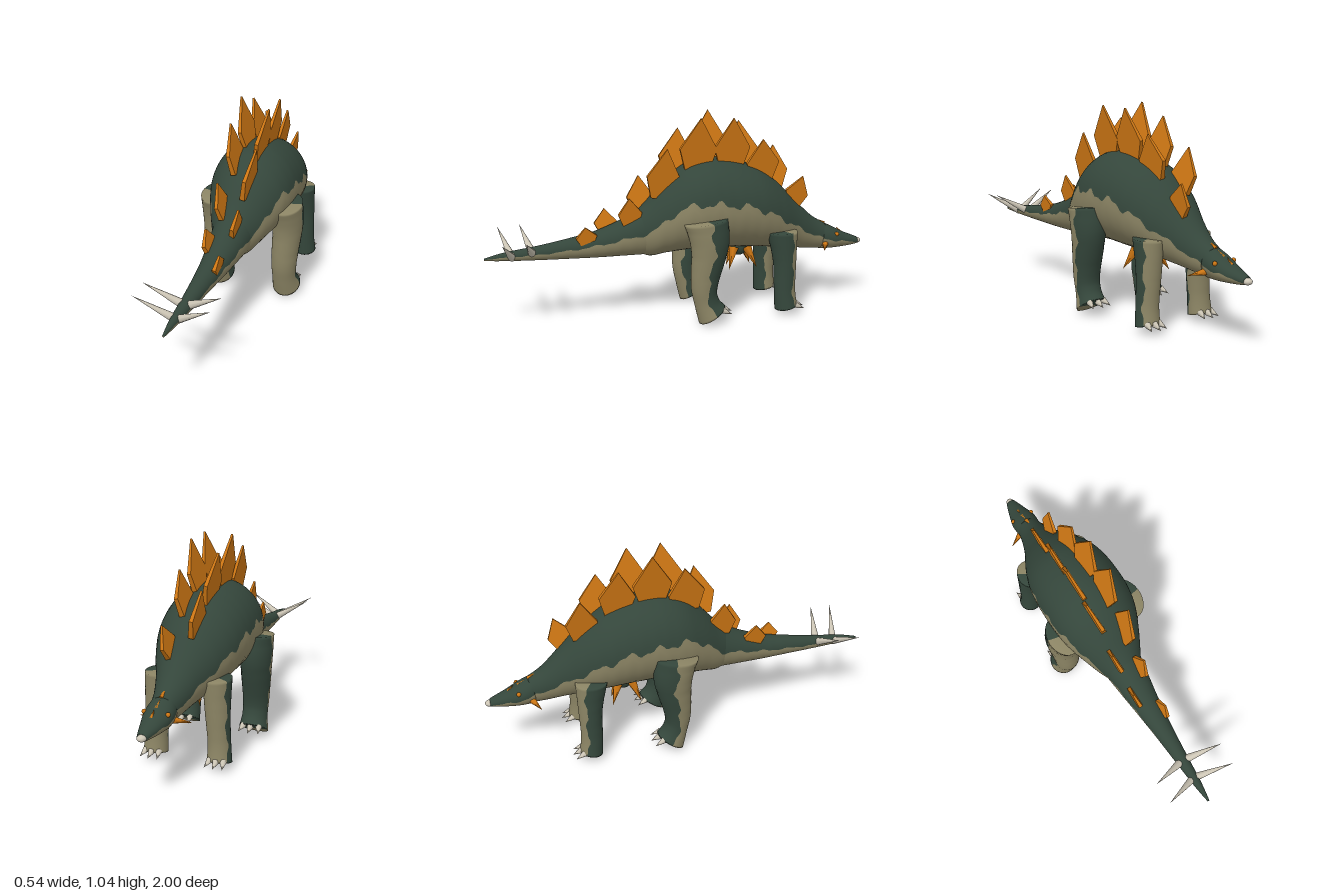
import * as THREE from 'three';

const mat = (name, color) => Object.assign(new THREE.MeshStandardMaterial({ color }), { name });

export function createModel() {
  const green = mat('dark green hide', 0x34463b);
  const beige = mat('beige underside', 0x8b8464);
  const orange = mat('orange plates', 0xd07814);
  const bone = mat('pale bone', 0xcdc6b6);
  const model = new THREE.Group();
  model.name = 'platedDinosaur';
  const V = (x, y, z) => new THREE.Vector3(x, y, z);

  function add(name, geo, material, parent = model) {
    const m = new THREE.Mesh(geo, material);
    m.name = name;
    parent.add(m);
    return m;
  }

  // smooth interpolation through the rows of a table, t from 0 to 1
  function sample(rows, t) {
    const f = t * (rows.length - 1), i = Math.min(Math.floor(f), rows.length - 2), u = f - i;
    const at = k => rows[Math.max(0, Math.min(rows.length - 1, k))];
    return rows[i].map((_, c) => {
      const [a, b, d, e] = [at(i - 1)[c], at(i)[c], at(i + 1)[c], at(i + 2)[c]];
      return b + 0.5 * u * (d - a + u * (2 * a - 5 * b + 4 * d - e + u * (3 * (b - d) + e - a)));
    });
  }

  // skin over a list of equally long rows of points
  function loft(rings, flip = false) {
    const n = rings[0].length, idx = [];
    for (let i = 0; i < rings.length - 1; i++) for (let j = 0; j < n - 1; j++) {
      const a = i * n + j, b = a + 1, c = a + n, d = c + 1;
      if (flip) idx.push(a, b, c, b, d, c);
      else idx.push(a, c, b, b, c, d);
    }
    const g = new THREE.BufferGeometry().setFromPoints(rings.flat());
    g.setIndex(idx);
    g.computeVertexNormals();
    return g;
  }

  // cone from one point to another
  function spike(name, from, to, r, material, sides = 8) {
    const dir = to.clone().sub(from), len = dir.length();
    const m = add(name, new THREE.ConeGeometry(r, len, sides), material);
    m.position.copy(from).addScaledVector(dir, 0.5);
    m.quaternion.setFromUnitVectors(V(0, 1, 0), dir.normalize());
    return m;
  }

  // rows: z, top, bottom, half width, height of the colour border
  const body = [
    [0.27, 0.53, 0.37, 0.07, 0.44], [0.19, 0.60, 0.325, 0.115, 0.47], [0.1, 0.695, 0.335, 0.16, 0.555],
    [0, 0.775, 0.345, 0.2, 0.61], [-0.1, 0.808, 0.35, 0.217, 0.615], [-0.2, 0.808, 0.345, 0.22, 0.605],
    [-0.3, 0.787, 0.34, 0.215, 0.59], [-0.4, 0.745, 0.33, 0.197, 0.55], [-0.5, 0.67, 0.318, 0.16, 0.495],
    [-0.6, 0.57, 0.305, 0.112, 0.435], [-0.7, 0.475, 0.292, 0.077, 0.38], [-0.78, 0.425, 0.288, 0.06, 0.35],
  ];
  const head = [
    [-0.755, 0.435, 0.284, 0.064, 0.355], [-0.82, 0.405, 0.284, 0.068, 0.34], [-0.89, 0.368, 0.287, 0.051, 0.325],
    [-0.94, 0.347, 0.291, 0.036, 0.315], [-0.975, 0.332, 0.296, 0.024, 0.31],
  ];
  const tail = [
    [1, 0.37, 0.358, 0.005, 0.365], [0.9, 0.393, 0.35, 0.02, 0.372], [0.75, 0.412, 0.343, 0.034, 0.378],
    [0.6, 0.437, 0.338, 0.048, 0.39], [0.45, 0.468, 0.334, 0.066, 0.41], [0.3, 0.525, 0.333, 0.088, 0.44],
    [0.18, 0.59, 0.332, 0.106, 0.465],
  ];

  // dark back and pale belly meeting along a wavy line
  function twoTone(name, rows, steps) {
    const back = [], belly = [];
    for (let i = -1; i <= steps + 1; i++) {
      const [z, top, bot, w, edge] = sample(rows, Math.max(0, Math.min(1, i / steps)));
      const k = i < 0 || i > steps ? 0.001 : 1;
      const cy = (top + bot) / 2, h = (top - bot) / 2;
      const arc = (a0, a1, n) => Array.from({ length: n + 1 }, (_, j) => {
        const a = a0 + (a1 - a0) * j / n;
        return V(Math.cos(a) * w * k, cy + Math.sin(a) * h * k, z);
      });
      const border = side => {
        const wave = w * (0.07 * Math.sin(z * 42 + side) + 0.04 * Math.sin(z * 95 + 2 * side));
        return Math.asin(Math.max(-0.9, Math.min(0.9, (edge + wave - cy) / h)));
      };
      const a = border(1), b = Math.PI - border(2);
      back.push(arc(a, b, 24));
      belly.push(arc(b, a + 2 * Math.PI, 24));
    }
    add(name + 'Back', loft(back), green);
    add(name + 'Belly', loft(belly), beige);
  }
  twoTone('body', body, 72);
  twoTone('head', head, 20);
  twoTone('tail', tail, 50);

  // beak
  const beak = add('beak', new THREE.SphereGeometry(1, 16, 10), bone);
  beak.scale.set(0.022, 0.016, 0.025);
  beak.position.set(0, 0.312, -0.975);

  // legs, rows: y, centre z, half depth, centre x, half width, slope
  const hind = [
    [0.532, -0.067, 0.11, 0.19, 0.08, -0.12], [0.4, -0.088, 0.096, 0.193, 0.078, -0.05],
    [0.2, -0.062, 0.068, 0.185, 0.067, 0], [0.11, -0.074, 0.06, 0.184, 0.064, -0.3],
    [0.043, -0.102, 0.066, 0.188, 0.074, -0.65],
  ];
  const fore = [
    [0.437, -0.488, 0.08, 0.145, 0.068, 0], [0.28, -0.502, 0.06, 0.152, 0.06, 0],
    [0.13, -0.503, 0.055, 0.16, 0.055, -0.05], [0.036, -0.511, 0.058, 0.164, 0.06, -0.2],
  ];
  function leg(name, rows, s, darkFrom, darkTo) {
    const skin = (a0, a1) => {
      const rings = [], steps = 24;
      for (let i = -1; i <= steps + 1; i++) {
        const [y, cz, rz, cx, rx, slope] = sample(rows, Math.max(0, Math.min(1, i / steps)));
        const k = i < 0 || i > steps ? 0.001 : 1;
        const wob = 0.13 * Math.sin(y * 38) + 0.06 * Math.sin(y * 90);
        rings.push(Array.from({ length: 17 }, (_, j) => {
          const a = a0 + (a1 - a0) * j / 16 + wob, dz = -Math.sin(a) * rz * k;
          return V(s * (cx + Math.cos(a) * rx * k), y + slope * dz, cz + dz);
        }));
      }
      return loft(rings, s < 0);
    };
    add(name + 'DarkSide', skin(darkFrom, darkTo), green);
    add(name + 'PaleSide', skin(darkTo, darkFrom + 2 * Math.PI), beige);
    // three claws on each foot
    const [y, cz, rz, cx, rx, slope] = rows[rows.length - 1];
    for (const k of [-1, 0, 1]) {
      const a = Math.PI / 2 - k * 0.65;
      const x = cx + Math.cos(a) * rx * 0.9, dz = -Math.sin(a) * rz * 0.85;
      const top = y - slope * rz * 0.85 * 0.5 + 0.01;
      spike(name + 'Claw', V(s * x, top, cz + dz), V(s * (x + k * 0.012), top - 0.02, cz + dz - 0.047), 0.017, bone, 8);
    }
  }
  for (const s of [1, -1]) {
    const side = s > 0 ? 'left' : 'right';
    leg(side + 'HindLeg', hind, s, 0.05, Math.PI + 0.45);
    leg(side + 'ForeLeg', fore, s, -Math.PI + 0.2, 0.5);

    // tail spikes
    spike(side + 'TailSpikeRear', V(0, 0.365, 0.865), V(s * 0.185, 0.478, 0.92), 0.021, bone, 10);
    spike(side + 'TailSpikeFront', V(0, 0.375, 0.765), V(s * 0.19, 0.482, 0.81), 0.023, bone, 10);

    // cheek horns, brow horns and eyes
    spike(side + 'CheekHorn', V(s * 0.045, 0.325, -0.775), V(s * 0.128, 0.308, -0.735), 0.019, orange, 6);
    spike(side + 'BrowHorn', V(s * 0.042, 0.385, -0.78), V(s * 0.055, 0.425, -0.71), 0.011, orange, 5);
    const eye = add(side + 'Eye', new THREE.SphereGeometry(0.011, 12, 8), orange);
    eye.position.set(s * 0.057, 0.372, -0.835);

    // spikes hanging under the chest
    for (const z of [-0.225, -0.375])
      spike(side + 'ChestSpike', V(s * 0.035, 0.335, -0.3 + Math.sign(z + 0.3) * 0.035), V(s * 0.085, 0.235, z), 0.027, orange, 5);
  }
  for (const z of [-0.235, -0.365])
    spike('middleChestSpike', V(0, 0.335, z < -0.3 ? -0.33 : -0.27), V(0, 0.232, z), 0.025, orange, 5);
  const knob = add('chestKnob', new THREE.SphereGeometry(0.05, 16, 12), green);
  knob.position.set(0, 0.335, -0.3);

  // small crest along the head
  spike('headCrestRear', V(0, 0.42, -0.78), V(0, 0.455, -0.715), 0.013, orange, 5);
  spike('headCrestMiddle', V(0, 0.39, -0.83), V(0, 0.42, -0.79), 0.011, orange, 5);
  spike('headCrestFront', V(0, 0.365, -0.88), V(0, 0.395, -0.855), 0.01, orange, 5);

  // height of the back at a given z
  const spine = [...tail.slice(0, 6), ...body.slice(1)];
  function backY(z) {
    const i = Math.max(1, spine.findIndex(r => r[0] <= z)), [a, b] = [spine[i - 1], spine[i]];
    return a[1] + (b[1] - a[1]) * (z - a[0]) / (b[0] - a[0]);
  }

  // pointed back plates, staggered left and right: base z, tip z, tip y, half width
  const leftPlates = [
    [0.5, 0.51, 0.505, 0.052], [0.28, 0.29, 0.64, 0.06], [0.125, 0.1, 0.88, 0.085], [-0.06, -0.07, 1.025, 0.096],
    [-0.24, -0.24, 1.02, 0.093], [-0.41, -0.4, 0.905, 0.086], [-0.58, -0.625, 0.7, 0.062],
  ];
  const rightPlates = [
    [0.39, 0.395, 0.567, 0.058], [0.21, 0.215, 0.725, 0.068], [0.03, 0.005, 0.955, 0.092],
    [-0.15, -0.155, 1.04, 0.097], [-0.33, -0.32, 0.98, 0.09], [-0.5, -0.51, 0.845, 0.078],
  ];
  function plate(name, s, [z, tipZ, tipY, half]) {
    const y = backY(z) - 0.04, x = 0.04;
    const base = V(s * x, y, z), tip = V(s * (x + 0.18 * (tipY - y)), tipY, tipZ);
    const up = tip.clone().sub(base), h = up.length();
    const shape = new THREE.Shape([[-0.62, 0], [0.62, 0], [1, 0.42], [0, 1], [-1, 0.42]]
      .map(([u, v]) => new THREE.Vector2(u * half, v * h)));
    const g = new THREE.ExtrudeGeometry(shape, { depth: 0.026, bevelEnabled: false }).translate(0, 0, -0.013);
    const p = g.attributes.position;
    for (let i = 0; i < p.count; i++) p.setZ(i, p.getZ(i) * (1 - 0.65 * p.getY(i) / h));
    up.normalize();
    const along = up.clone().cross(V(1, 0, 0)).normalize();
    g.applyMatrix4(new THREE.Matrix4().makeBasis(along, up, along.clone().cross(up)).setPosition(base));
    g.computeVertexNormals();
    add(name, g, orange);
  }
  leftPlates.forEach(r => plate('leftBackPlate', 1, r));
  rightPlates.forEach(r => plate('rightBackPlate', -1, r));

  return model;
}
